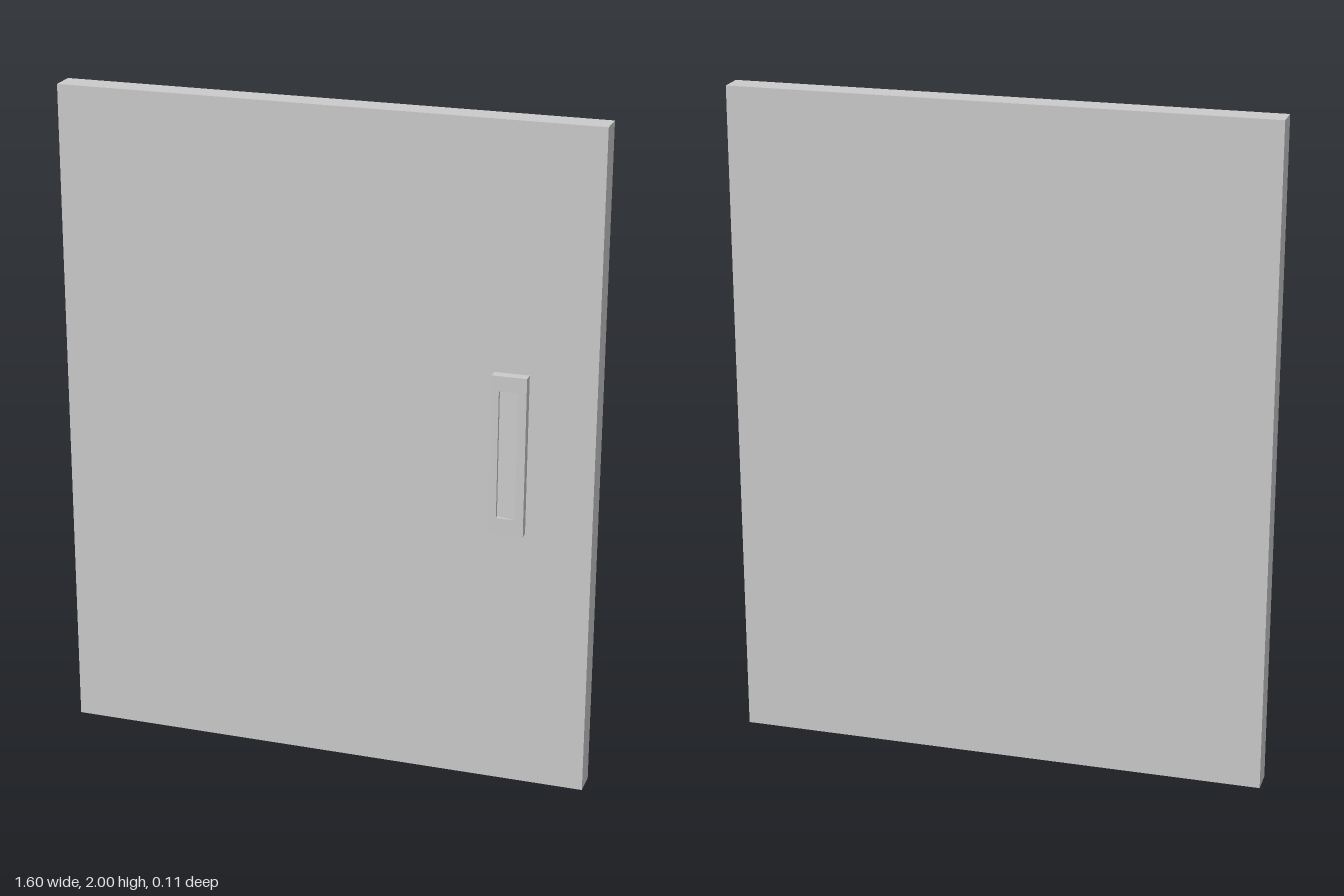
import * as THREE from 'three';

const FRONT = 0.024;                       // front surface of the door panel
const PULL = { x0: 0.503, x1: 0.605, y0: 0.795, y1: 1.275, depth: 0.027 };
const POCKET = { x0: 0.525, x1: 0.58, y0: 0.845, y1: 1.23, depth: 0.012 };

function trace(path, points) {
  points.forEach(([x, y], i) => (i ? path.lineTo(x, y) : path.moveTo(x, y)));
  path.closePath();
  return path;
}

const rect = ({ x0, x1, y0, y1 }) => [[x0, y0], [x1, y0], [x1, y1], [x0, y1]];

// Lean the front of the pull slightly outwards towards its top
function lean(geometry) {
  const p = geometry.attributes.position;
  for (let i = 0; i < p.count; i++) {
    if (p.getZ(i) < FRONT + 0.005) continue;
    const t = (p.getY(i) - PULL.y0) / (PULL.y1 - PULL.y0);
    p.setZ(i, p.getZ(i) + 0.004 * t);
  }
  geometry.computeVertexNormals();
  return geometry;
}

export function createModel() {
  const group = new THREE.Group();
  const material = new THREE.MeshStandardMaterial({ color: 0xcccccc, flatShading: true });
  const add = (name, geometry) => {
    const mesh = new THREE.Mesh(geometry, material);
    mesh.name = name;
    group.add(mesh);
  };

  // Flat door panel
  add('doorPanel', new THREE.BoxGeometry(1.6, 2, 0.078).translate(0, 1, FRONT - 0.039));

  // Pull plate with an opening for the finger pocket
  const plate = trace(new THREE.Shape(), rect(PULL));
  plate.holes.push(trace(new THREE.Path(), rect(POCKET).reverse()));
  const plateGeometry = new THREE.ExtrudeGeometry(plate, { depth: PULL.depth, bevelEnabled: false });
  add('handlePlate', lean(plateGeometry.translate(0, 0, FRONT)));

  // Pocket floor: deep at the inner edge, ramping up flush at the outer edge
  const top = FRONT + PULL.depth;
  const ramp = trace(new THREE.Shape(), [
    [POCKET.x0, FRONT], [POCKET.x1, FRONT], [POCKET.x1, top], [POCKET.x0, top - POCKET.depth],
  ]);
  const rampGeometry = new THREE.ExtrudeGeometry(ramp, { depth: POCKET.y1 - POCKET.y0, bevelEnabled: false });
  add('handlePocket', lean(rampGeometry.rotateX(Math.PI / 2).translate(0, POCKET.y1, 0)));

  return group;
}
